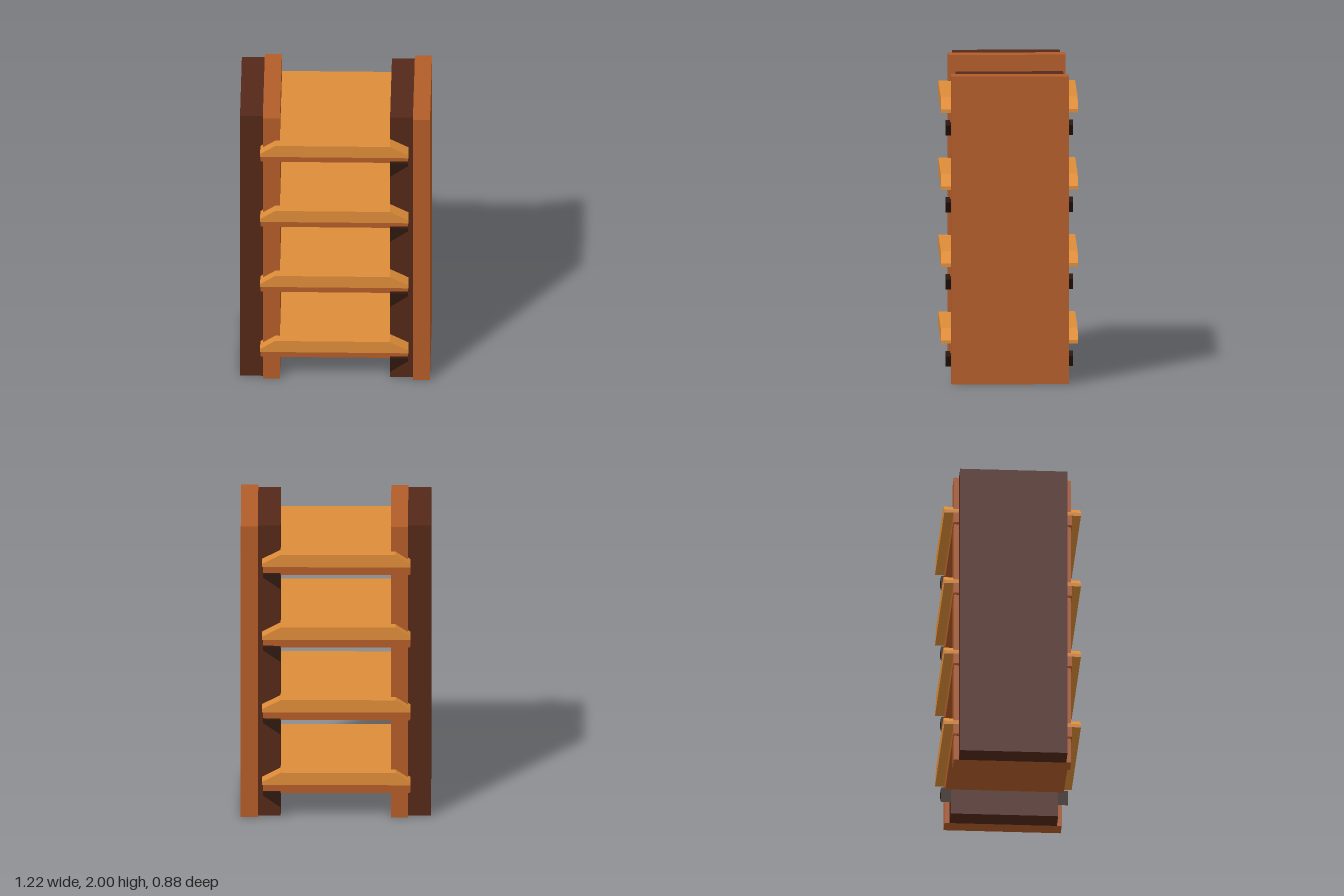
import * as THREE from 'three';

const paint = (color) => new THREE.MeshStandardMaterial({ color, flatShading: true });

export function createModel() {
  const model = new THREE.Group();
  const rust = paint(0xb35c28);
  const darkWood = paint(0x542818);
  const honey = paint(0xdd8c38);
  const blackWood = paint(0x2e170e);

  // Extrudes a front outline (x, y) evenly forward and back
  function prism(name, points, halfDepth, material, y = 0) {
    const shape = new THREE.Shape(points.map(([x, py]) => new THREE.Vector2(x, py)));
    const geometry = new THREE.ExtrudeGeometry(shape, { depth: 2 * halfDepth, bevelEnabled: false });
    geometry.translate(0, 0, -halfDepth);
    const mesh = new THREE.Mesh(geometry, material);
    mesh.name = name;
    mesh.position.y = y;
    model.add(mesh);
  }

  function slab(name, x0, x1, height, depth, material) {
    const mesh = new THREE.Mesh(new THREE.BoxGeometry(x1 - x0, height, depth), material);
    mesh.name = name;
    mesh.position.set((x0 + x1) / 2, height / 2, 0);
    model.add(mesh);
  }

  // Two-layer side uprights, repeated with the same layer order
  for (const [side, x] of [['right', -0.612], ['left', 0.353]]) {
    slab(side + 'DarkUpright', x, x + 0.147, 1.996, 0.692, darkWood);
    slab(side + 'Upright', x + 0.147, x + 0.257, 2, 0.756, rust);
  }

  // Four shelves: bevelled top plank, under-board and a wedge bracket
  for (let i = 0; i < 4; i++) {
    const y = 0.17 + i * 0.5;
    prism('shelfTop', [
      [-0.481, 0.075], [0.473, 0.075], [0.473, 0.097],
      [0.353, 0.16], [-0.385, 0.16], [-0.481, 0.097],
    ], 0.44, honey, y);
    prism('shelfBoard', [
      [-0.476, 0], [0.353, 0], [0.468, 0.014], [0.468, 0.076], [-0.48, 0.076], [-0.48, 0.008],
    ], 0.382, rust, y);
    prism('shelfBracket', [
      [0.354, -0.09], [0.468, -0.008], [0.468, 0.012], [0.354, 0.012],
    ], 0.409, blackWood, y);
  }

  return model;
}
